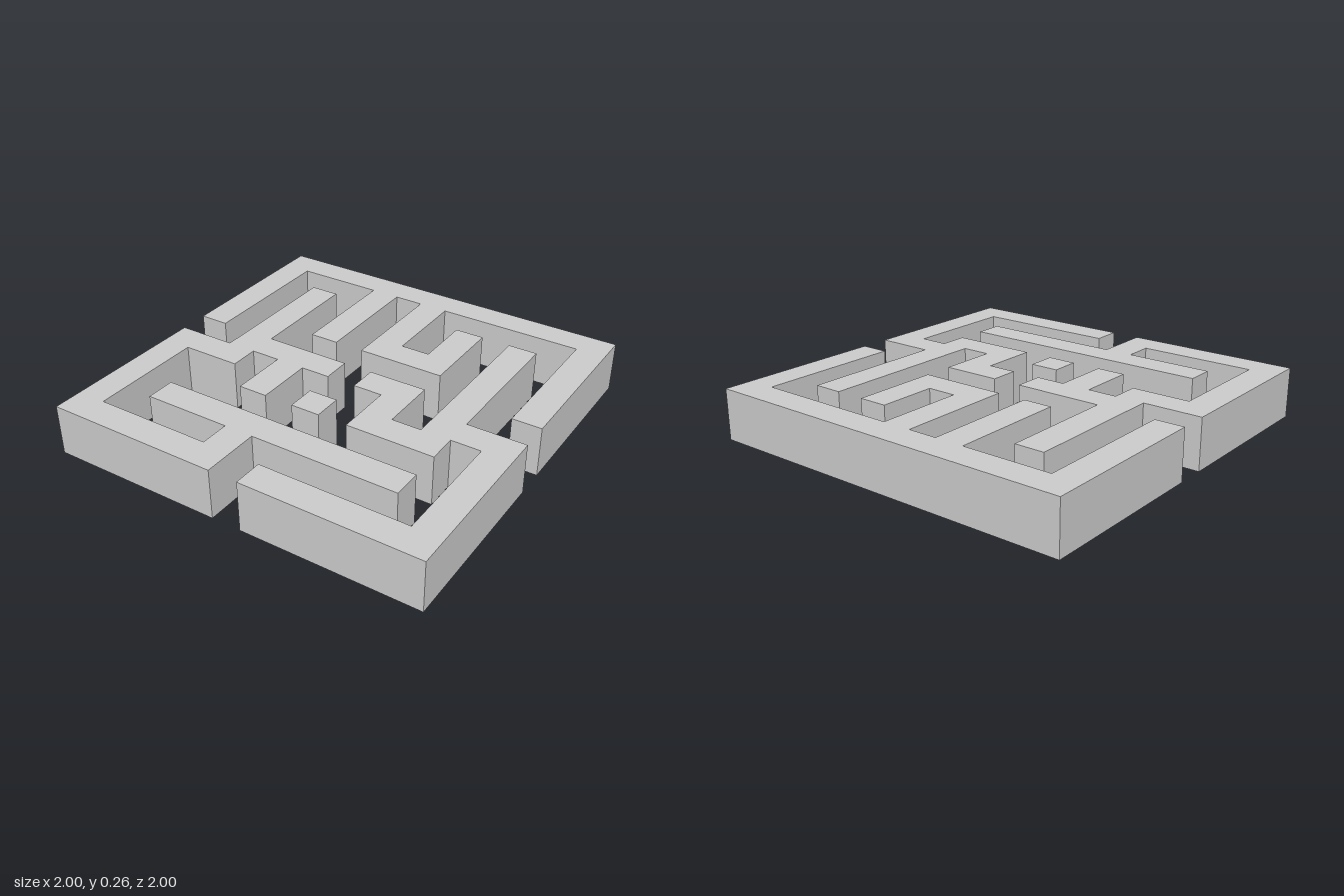
import * as THREE from 'three';
import { mergeGeometries } from 'three/addons/utils/BufferGeometryUtils.js';

// Maze plan: back row first, # is a wall block
const PLAN = [
  '#############',
  '#...#.#.....#',
  '#.#.#.#.#.#.#',
  '#.#.#.#.#.#.#',
  '#.#.#.###.#.#',
  '#.#.......#.#',
  '..####.##.#..',
  '###.#...#.###',
  '#...#.#.###.#',
  '#...........#',
  '#.#########.#',
  '#....#......#',
  '######.######',
];
const N = PLAN.length;
const CELL = 2 / N;
const HEIGHT = 0.265;

const isWall = (row, col) => PLAN[row]?.[col] === '#';

// Hollow block, open underneath; a partition shared with a neighbour is made once
function block(row, col) {
  const geo = new THREE.BoxGeometry(CELL, HEIGHT, CELL);
  const keep = [true, !isWall(row, col - 1), true, false, true, !isWall(row - 1, col)]; // +x -x +y -y +z -z
  geo.setIndex(Array.from(geo.index.array).filter((_, i) => keep[Math.floor(i / 6)]));
  geo.clearGroups();
  return geo.translate(-1 + (col + 0.5) * CELL, HEIGHT / 2, -1 + (row + 0.5) * CELL);
}

export function createModel() {
  const group = new THREE.Group();
  group.name = 'maze';
  const material = new THREE.MeshStandardMaterial({ color: 0xcccccc, side: THREE.DoubleSide });

  // Sort the blocks into the boundary ring and the passages' walls
  const parts = { outerWall: [], innerWalls: [] };
  for (let row = 0; row < N; row++) {
    for (let col = 0; col < N; col++) {
      if (!isWall(row, col)) continue;
      const onBorder = row === 0 || col === 0 || row === N - 1 || col === N - 1;
      parts[onBorder ? 'outerWall' : 'innerWalls'].push(block(row, col));
    }
  }

  for (const [name, blocks] of Object.entries(parts)) {
    const mesh = new THREE.Mesh(mergeGeometries(blocks), material);
    mesh.name = name;
    group.add(mesh);
  }
  return group;
}
